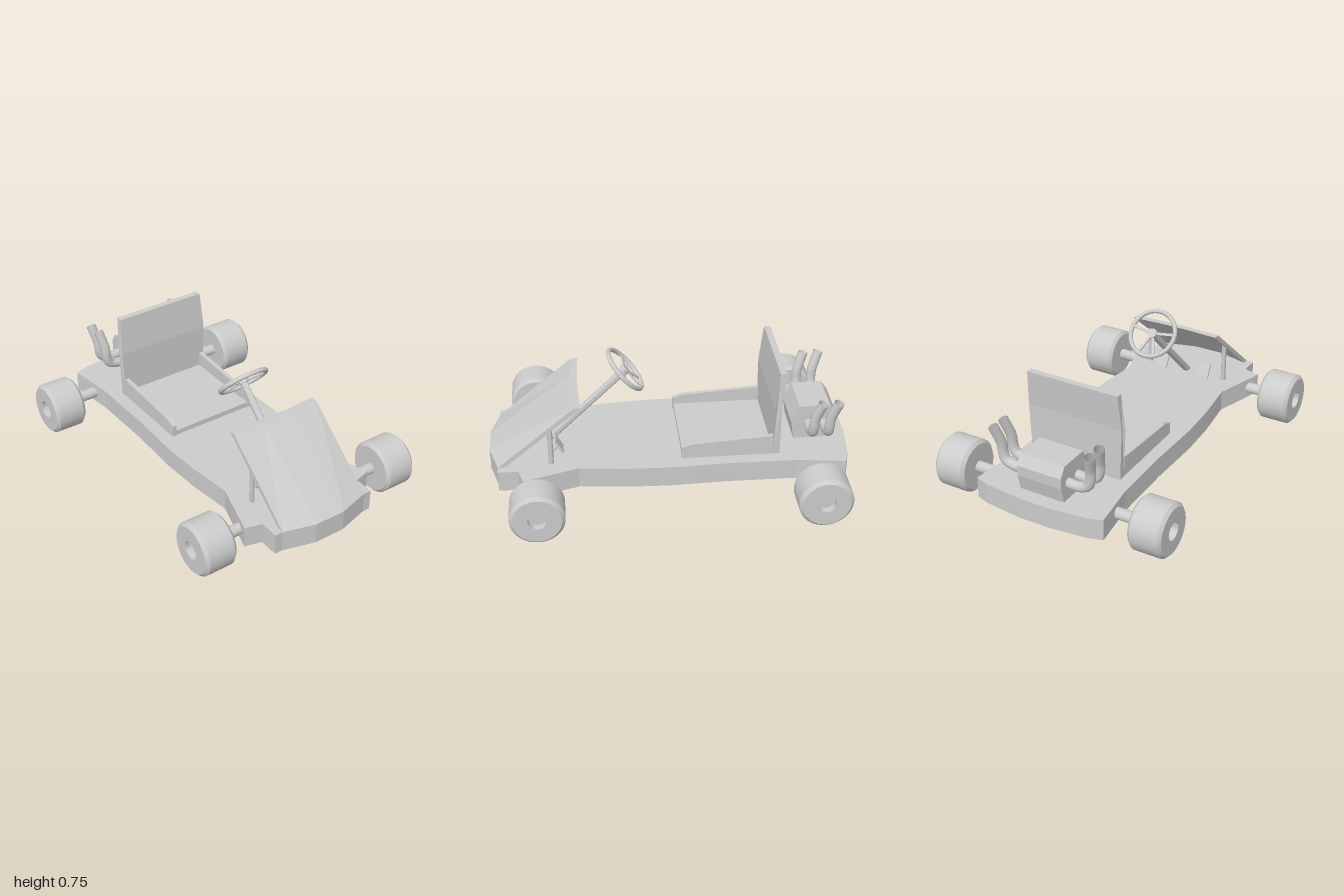
import * as THREE from 'three';
import { toCreasedNormals } from 'three/addons/utils/BufferGeometryUtils.js';

const grey = new THREE.MeshStandardMaterial({ color: 0xcccccc, side: THREE.DoubleSide });

export function createModel() {
  const model = new THREE.Group();

  const add = (name, geometry, crease = 0.5) => {
    const mesh = new THREE.Mesh(toCreasedNormals(geometry, crease), grey);
    mesh.name = name;
    model.add(mesh);
    return mesh;
  };
  const shapeOf = (pts) => new THREE.Shape(pts.map(([a, b]) => new THREE.Vector2(a, b)));
  // Side profile given as [z, y], extruded across x and centred on cx
  const sideExtrude = (pts, width, cx = 0) =>
    new THREE.ExtrudeGeometry(shapeOf(pts), { depth: width, bevelEnabled: false })
      .rotateY(-Math.PI / 2).translate(cx + width / 2, 0, 0);
  // Round bar between two points
  const bar = (name, a, b, radius, sides = 16) => {
    const from = new THREE.Vector3(...a), to = new THREE.Vector3(...b);
    const dir = to.clone().sub(from);
    const mesh = add(name, new THREE.CylinderGeometry(radius, radius, dir.length(), sides), 0.9);
    mesh.position.copy(from).lerp(to, 0.5);
    mesh.quaternion.setFromUnitVectors(new THREE.Vector3(0, 1, 0), dir.normalize());
    return mesh;
  };

  // Floor slab: half outline [x, z] from back to front, mirrored
  const half = [[0.09, -1], [0.31, -0.975], [0.385, -0.95], [0.35, -0.68], [0.345, -0.3], [0.355, 0.02],
    [0.345, 0.25], [0.315, 0.51], [0.41, 0.815], [0.315, 0.84], [0.315, 0.95], [0.27, 0.95], [0.09, 1]];
  const outline = [...half, ...half.slice().reverse().map(([x, z]) => [-x, z])];
  add('chassis', new THREE.ExtrudeGeometry(shapeOf(outline), { depth: 0.12, bevelEnabled: false })
    .rotateX(Math.PI / 2).translate(0, 0.21, 0), 0.1);

  // Wheels with bevelled tread and recessed hub, plus axles
  const tyre = [[0, 0], [0.13, 0], [0.148, 0.018], [0.148, 0.172], [0.13, 0.19], [0.05, 0.19], [0.05, 0.15], [0, 0.15]]
    .map(([r, h]) => new THREE.Vector2(r, h));
  for (const [place, z] of [['front', 0.742], ['rear', -0.785]]) {
    bar(place + 'Axle', [-0.52, 0.15, z], [0.52, 0.15, z], 0.032);
    for (const s of [1, -1]) {
      const wheel = add(place + (s > 0 ? 'Left' : 'Right') + 'Wheel', new THREE.LatheGeometry(tyre, 36));
      wheel.rotation.z = -s * Math.PI / 2;
      wheel.position.set(s * 0.5, 0.15, z);
    }
  }

  // Sloping front fairing: a thin slab bent forward in the middle
  const fairing = new THREE.BoxGeometry(0.54, 1, 1, 3, 1, 1);
  const fp = fairing.attributes.position;
  for (let i = 0; i < fp.count; i++) {
    const x = fp.getX(i), t = fp.getY(i) + 0.5;
    const bulge = Math.abs(x) < 0.2 ? 0.05 - 0.04 * t : 0;
    const back = fp.getZ(i) < 0 ? 0.038 : 0;
    fp.setXYZ(i, x, 0.21 + 0.355 * t, 0.95 - 0.425 * t + bulge - back);
  }
  add('frontFairing', fairing, 0.05);
  for (const s of [1, -1]) bar('fairingStrut', [s * 0.25, 0.2, 0.66], [s * 0.25, 0.435, 0.66], 0.014);

  // Pedals
  for (const s of [1, -1]) {
    const pedal = add('pedal', new THREE.BoxGeometry(0.075, 0.085, 0.012));
    pedal.position.set(s * 0.14, 0.262, 0.615);
    pedal.rotation.x = 0.5;
    bar('pedalArm', [s * 0.14, 0.262, 0.615], [s * 0.14, 0.205, 0.66], 0.009, 8);
  }

  // Steering column and wheel
  bar('steeringColumn', [0, 0.205, 0.675], [0, 0.63, 0.235], 0.021);
  const steering = new THREE.Group();
  steering.name = 'steeringWheel';
  steering.position.set(0, 0.635, 0.232);
  steering.rotation.x = Math.atan2(0.66, 0.75) - Math.PI;
  model.add(steering);
  // local +z faces the driver, local -y points to the upper rim
  steering.add(add('steeringRim', new THREE.TorusGeometry(0.135, 0.013, 10, 40), 1));
  steering.add(add('steeringHub', new THREE.CylinderGeometry(0.028, 0.028, 0.025, 16).rotateX(Math.PI / 2)));
  for (const a of [-0.15, Math.PI + 0.15, Math.PI / 2 - 0.38, Math.PI / 2 + 0.38]) {
    const spoke = add('steeringSpoke', new THREE.BoxGeometry(0.13, 0.015, 0.01).translate(0.068, 0, 0));
    spoke.rotation.z = a;
    steering.add(spoke);
  }

  // Seat: pan, two side rails and a back narrowing to the top
  add('seatPan', new THREE.BoxGeometry(0.53, 0.03, 0.52).translate(0, 0.225, -0.32));
  const rail = [[-0.055, 0.21], [-0.055, 0.278], [-0.11, 0.297], [-0.57, 0.325], [-0.57, 0.21]];
  for (const s of [1, -1]) add('seatRail', sideExtrude(rail, 0.025, s * 0.26), 0.1);
  const back = sideExtrude([[-0.56, 0.21], [-0.56, 0.5], [-0.582, 0.715], [-0.618, 0.715], [-0.598, 0.51], [-0.598, 0.21]], 2);
  const bp = back.attributes.position;
  for (let i = 0; i < bp.count; i++) {
    const y = bp.getY(i);
    bp.setX(i, bp.getX(i) * (y > 0.6 ? 0.272 : y > 0.4 ? 0.284 : 0.274));
  }
  add('seatBack', back, 0.05);

  // Engine block
  add('engine', sideExtrude([[-0.705, 0.2], [-0.685, 0.32], [-0.728, 0.415], [-0.902, 0.415],
    [-0.94, 0.36], [-0.938, 0.3], [-0.915, 0.2]], 0.265), 0.1);

  // Exhaust pipes, two each side, open at the top
  for (const s of [1, -1]) for (const z of [-0.785, -0.872]) {
    const path = new THREE.CatmullRomCurve3([[0.11, 0.305, 0], [0.2, 0.303, 0], [0.25, 0.325, 0],
      [0.265, 0.37, 0], [0.268, 0.42, -0.004], [0.288, 0.525, -0.038]]
      .map(([x, y, dz]) => new THREE.Vector3(s * x, y, z + dz)));
    add('exhaustPipe', new THREE.TubeGeometry(path, 24, 0.028, 14), 1);
  }
  return model;
}
